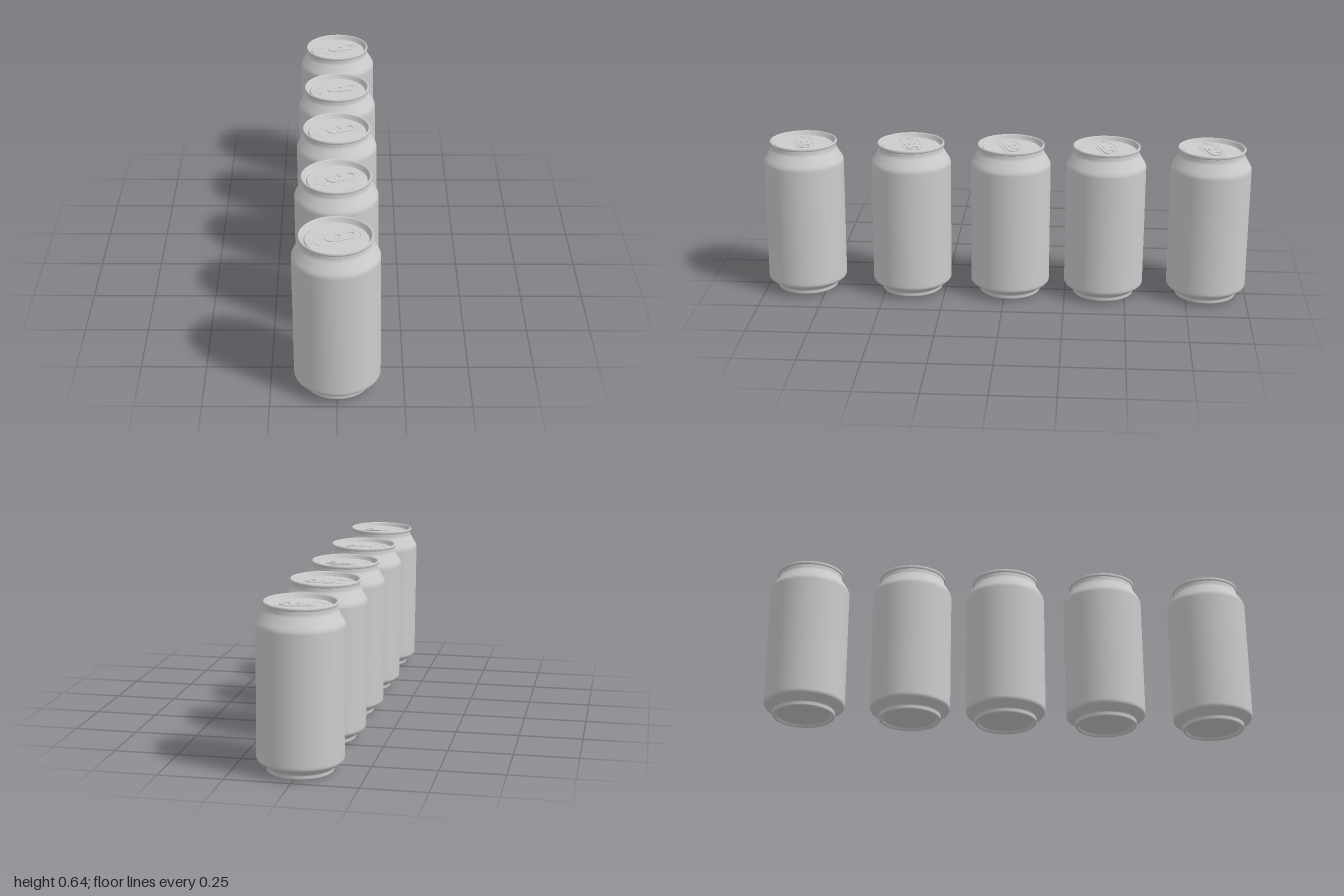
import * as THREE from 'three';

const metal = new THREE.MeshStandardMaterial({ color: 0xcccccc });

function add(parent, name, geometry, x = 0, y = 0, z = 0) {
  const mesh = new THREE.Mesh(geometry, metal);
  mesh.name = name;
  mesh.position.set(x, y, z);
  parent.add(mesh);
  return mesh;
}

const lathe = (points, segments = 72) =>
  new THREE.LatheGeometry(points.map(([r, y]) => new THREE.Vector2(r, y)), segments);

// Flat panel floor of the lid, where the tab is fixed
const LID_Y = 0.622;

// Base, wall and shoulder, up to the underside of the rim
const shellProfile = [
  [0, 0.012], [0.107, 0.012], [0.109, 0.0115], [0.112, 0.006], [0.115, 0.002], [0.118, 0.001],
  [0.122, 0.0015], [0.1245, 0.004], [0.125, 0.007], [0.125, 0.016], [0.126, 0.019], [0.129, 0.0225],
  [0.153, 0.039], [0.159, 0.0435], [0.162, 0.048], [0.163, 0.054], [0.163, 0.06],
  [0.163, 0.545], [0.163, 0.551], [0.1615, 0.557], [0.159, 0.563], [0.155, 0.57],
  [0.137, 0.6], [0.134, 0.606], [0.1325, 0.612], [0.132, 0.625],
];

// Rolled rim, chuck wall, countersink groove and lid panel
const lidProfile = [
  [0.131, 0.625], [0.135, 0.6245], [0.137, 0.627], [0.1375, 0.632], [0.1365, 0.636], [0.134, 0.6375],
  [0.131, 0.637], [0.129, 0.634], [0.127, 0.628], [0.122, 0.617], [0.12, 0.6155], [0.117, 0.6155],
  [0.115, 0.617], [0.114, 0.6205], [0.1125, LID_Y], [0.11, LID_Y], [0, LID_Y],
];

// Outline joining a nose circle and a smaller finger-ring circle
function capsule(x0, r0, x1, r1) {
  const tilt = Math.acos((r0 - r1) / (x1 - x0));
  const shape = new THREE.Shape();
  shape.absarc(x0, 0, r0, tilt, 2 * Math.PI - tilt, false);
  shape.absarc(x1, 0, r1, -tilt, tilt, false);
  shape.closePath();
  return shape;
}

// Raised bead following a closed flat outline on the lid
function bead(shape, radius) {
  const points = shape.getSpacedPoints(28).slice(0, -1).map(p => new THREE.Vector3(p.x, 0, -p.y));
  return new THREE.TubeGeometry(new THREE.CatmullRomCurve3(points, true), 56, radius, 6, true);
}

function makeTab() {
  const shape = capsule(-0.012, 0.029, 0.053, 0.026);
  // Finger hole
  const finger = new THREE.Path();
  finger.absellipse(0.055, 0, 0.016, 0.018, 0, 2 * Math.PI, true);
  // Cut around the rivet tongue
  const cut = new THREE.Path();
  cut.absarc(0, 0, 0.017, 2.2, -2.2, true);
  cut.absarc(0, 0, 0.013, -2.2, 2.2, false);
  cut.closePath();
  shape.holes.push(finger, cut);
  const geometry = new THREE.ExtrudeGeometry(shape, {
    depth: 0.002, bevelThickness: 0.001, bevelSize: 0.0015, bevelOffset: -0.0015,
    bevelSegments: 2, curveSegments: 20,
  });
  return geometry.rotateX(-Math.PI / 2);
}

const shell = lathe(shellProfile);
const lid = lathe(lidProfile);
const tab = makeTab();
const rivet = lathe([[0.009, 0], [0.009, 0.005], [0.008, 0.0065], [0.005, 0.007], [0, 0.007]], 24);
const panelBead = bead(capsule(-0.045, 0.04, 0.06, 0.034), 0.0012);
const mouthBead = bead(capsule(-0.07, 0.03, -0.04, 0.026), 0.001);

function makeCan(tabTurn) {
  const can = new THREE.Group();
  add(can, 'shell', shell);
  add(can, 'lid', lid);
  const opener = new THREE.Group();
  opener.name = 'opener';
  opener.position.y = LID_Y;
  opener.rotation.y = tabTurn;
  add(opener, 'panelBead', panelBead);
  add(opener, 'mouthScore', mouthBead);
  add(opener, 'pullTab', tab, 0, 0.003, 0);
  add(opener, 'rivet', rivet);
  can.add(opener);
  // Each can leans very slightly
  can.rotation.set(-0.006, 0, 0.01);
  can.position.x = 0.001;
  can.position.y = 0.001;
  return can;
}

export function createModel() {
  const model = new THREE.Group();
  model.name = 'canRow';
  // Unevenly spaced row: z position and tab direction
  const row = [[0.836, 0.33], [0.391, 0.33], [-0.02, 0.3], [-0.41, 0.22], [-0.836, 0.3]];
  row.forEach(([z, turn], i) => {
    const can = makeCan(turn);
    can.name = `can${i + 1}`;
    can.position.z = z;
    model.add(can);
  });
  return model;
}
